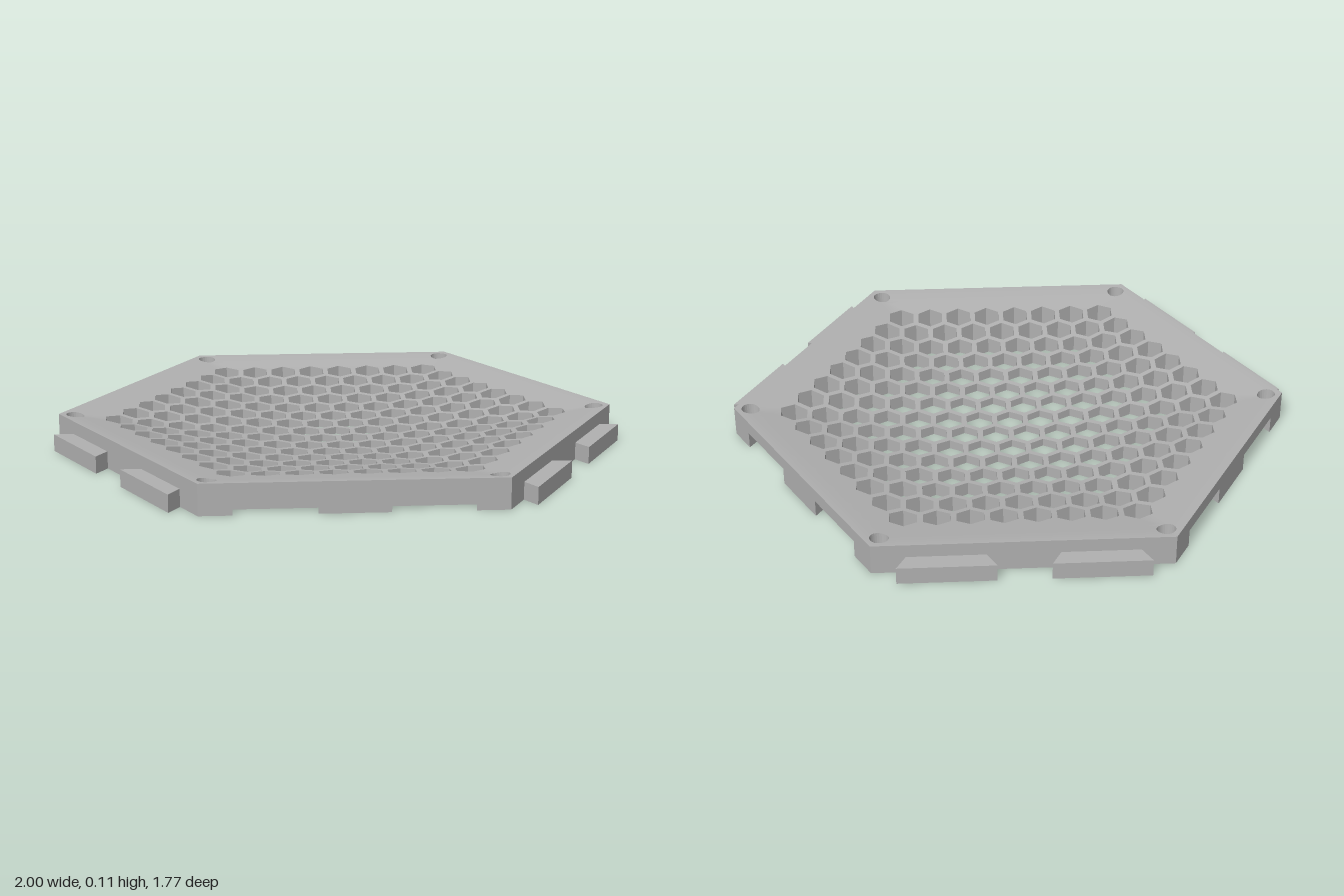
import * as THREE from 'three';

const APOTHEM = 0.854, RADIUS = APOTHEM / Math.cos(Math.PI / 6);
const TAB_HEIGHT = 0.06, TAB_DEPTH = 0.06, PITCH = 0.1105;
const V = (x, y) => new THREE.Vector2(x, y);
const polar = (r, a) => V(r * Math.cos(a), r * Math.sin(a));

// Plan coordinates (x, z): n outward from a side facing angle a, t along it
const onSide = (a, n, t) =>
  V(n * Math.cos(a) - t * Math.sin(a), n * Math.sin(a) + t * Math.cos(a));

const ring = (cx, cz, r, sides, start = 0) =>
  Array.from({ length: sides }, (_, i) =>
    polar(r, start + (i * 2 * Math.PI) / sides).add(V(cx, cz)));

// Height of the dished top: hexagonal bowl blending into a level rim
function height(x, z) {
  const s = Math.abs(x) * Math.cos(Math.PI / 6) + Math.abs(z) / 2;
  const a = Math.max(Math.abs(z), s);
  const bowl = 0.025 + 0.12 * a * a, rim = 0.109;
  return (bowl + rim - Math.hypot(bowl - rim, 0.008)) / 2;
}

function slopeNormal(x, z) {
  const e = 0.012;
  return new THREE.Vector3(
    height(x - e, z) - height(x + e, z), 2 * e, height(x, z - e) - height(x, z + e)).normalize();
}

function toGeometry(points, normals) {
  const g = new THREE.BufferGeometry().setFromPoints(points);
  if (normals) {
    g.setAttribute('normal',
      new THREE.Float32BufferAttribute(normals.flatMap((n) => n.toArray()), 3));
  } else g.computeVertexNormals();
  return g;
}

// Triangles of a plan outline with holes, all wound the same way
function triangulate(outline, holes) {
  const all = [outline, ...holes].flat();
  return THREE.ShapeUtils.triangulateShape(outline, holes).map(([i, j, k]) => {
    const t = [all[i], all[j], all[k]];
    return THREE.ShapeUtils.area(t) < 0 ? t.reverse() : t;
  });
}

// Split the longest edge until triangles are small enough to follow the bowl
function subdivide([a, b, c], out) {
  const ab = a.distanceTo(b), bc = b.distanceTo(c), ca = c.distanceTo(a);
  const longest = Math.max(ab, bc, ca);
  if (longest < 0.06) return out.push([a, b, c]);
  if (longest === bc) [a, b, c] = [b, c, a];
  else if (longest === ca) [a, b, c] = [c, a, b];
  const m = a.clone().add(b).multiplyScalar(0.5);
  subdivide([a, m, c], out);
  subdivide([m, b, c], out);
}

// Vertical or tapered wall between two matching loops
function addWall(points, low, lowY, high, highY, inward) {
  low.forEach((p, i) => {
    const j = (i + 1) % low.length;
    const P = (v, y) => new THREE.Vector3(v.x, y(v), v.y);
    const a = P(p, lowY), b = P(high[i], highY), c = P(high[j], highY), d = P(low[j], lowY);
    points.push(...(inward ? [a, c, b, a, d, c] : [a, b, c, a, c, d]));
  });
}

export function createModel() {
  const model = new THREE.Group();
  model.name = 'hexagonalGrateTile';
  const grey = new THREE.MeshStandardMaterial({ color: 0xb0b0b0 });
  grey.name = 'grey';
  const body = new THREE.Group();
  body.name = 'tileBody';
  body.position.z = 0.028;
  model.add(body);
  const add = (name, geometry) => {
    const mesh = new THREE.Mesh(geometry, grey);
    mesh.name = name;
    body.add(mesh);
  };

  // Honeycomb openings
  const cells = [];
  for (let row = -7; row <= 7; row++) {
    const count = 15 - Math.abs(row);
    for (let i = 0; i < count; i++) {
      cells.push(ring((i - (count - 1) / 2) * PITCH, row * PITCH * Math.sqrt(0.75),
        0.053, 6, Math.PI / 6));
    }
  }

  // Tapered screw holes near the corners
  const screws = (r) => Array.from({ length: 6 }, (_, i) => {
    const c = polar(0.928, (i * Math.PI) / 3);
    return ring(c.x, c.y, r, 24);
  });
  const screwTop = screws(0.032), screwBottom = screws(0.024);

  // Outlines: plain at the top, notched by dovetail slots on alternate sides below
  const outline = ring(0, 0, RADIUS, 6);
  const notched = [], slots = [];
  for (let i = 0; i < 6; i++) {
    const a = Math.PI / 6 + (i * Math.PI) / 3;
    notched.push(outline[i]);
    if (i % 2 === 0) continue;
    for (const m of [-0.25, 0.25]) {
      const slot = [[0, -0.134], [TAB_DEPTH, -0.165], [TAB_DEPTH, 0.165], [0, 0.134]]
        .map(([d, t]) => onSide(a, APOTHEM - d, m + t));
      notched.push(...slot);
      slots.push(slot);
    }
  }

  // Dished top surface
  const small = [];
  triangulate(outline, [...cells, ...screwTop]).forEach((t) => subdivide(t, small));
  const plan = small.flatMap(([a, b, c]) => [a, c, b]);
  add('dishedTop', toGeometry(
    plan.map((p) => new THREE.Vector3(p.x, height(p.x, p.y), p.y)),
    plan.map((p) => slopeNormal(p.x, p.y))));

  // Flat underside and slot ceilings
  const flat = (tris, y) => tris.flat().map((p) => new THREE.Vector3(p.x, y, p.y));
  add('underside', toGeometry(flat(triangulate(notched, [...cells, ...screwBottom]), 0)));
  add('slotCeilings', toGeometry(
    flat(slots.flatMap((s) => triangulate(s, [])), TAB_HEIGHT)));

  // Walls of the rim, openings and screw holes
  const ground = () => 0, mid = () => TAB_HEIGHT, top = (p) => height(p.x, p.y);
  const rim = [], cellWalls = [], screwWalls = [];
  addWall(rim, notched, ground, notched, mid, false);
  addWall(rim, outline, mid, outline, top, false);
  // Remove the lower wall's closed-over faces only where slots open: notched already follows them
  cells.forEach((c) => addWall(cellWalls, c, ground, c, top, true));
  screwBottom.forEach((c, i) => addWall(screwWalls, c, ground, screwTop[i], top, true));
  add('rimWalls', toGeometry(rim));
  add('honeycombWalls', toGeometry(cellWalls));
  add('screwHoleWalls', toGeometry(screwWalls));

  // Dovetail tabs on the other three sides
  for (const i of [0, 2, 4]) {
    const a = Math.PI / 6 + (i * Math.PI) / 3;
    for (const m of [-0.25, 0.25]) {
      const shape = new THREE.Shape(
        [[0, -0.13], [TAB_DEPTH, -0.162], [TAB_DEPTH, 0.162], [0, 0.13]]
          .map(([d, t]) => onSide(a, APOTHEM + d, m + t)));
      const g = new THREE.ExtrudeGeometry(shape, { depth: TAB_HEIGHT, bevelEnabled: false });
      add('dovetailTab', g.rotateX(Math.PI / 2).translate(0, TAB_HEIGHT, 0));
    }
  }
  return model;
}
